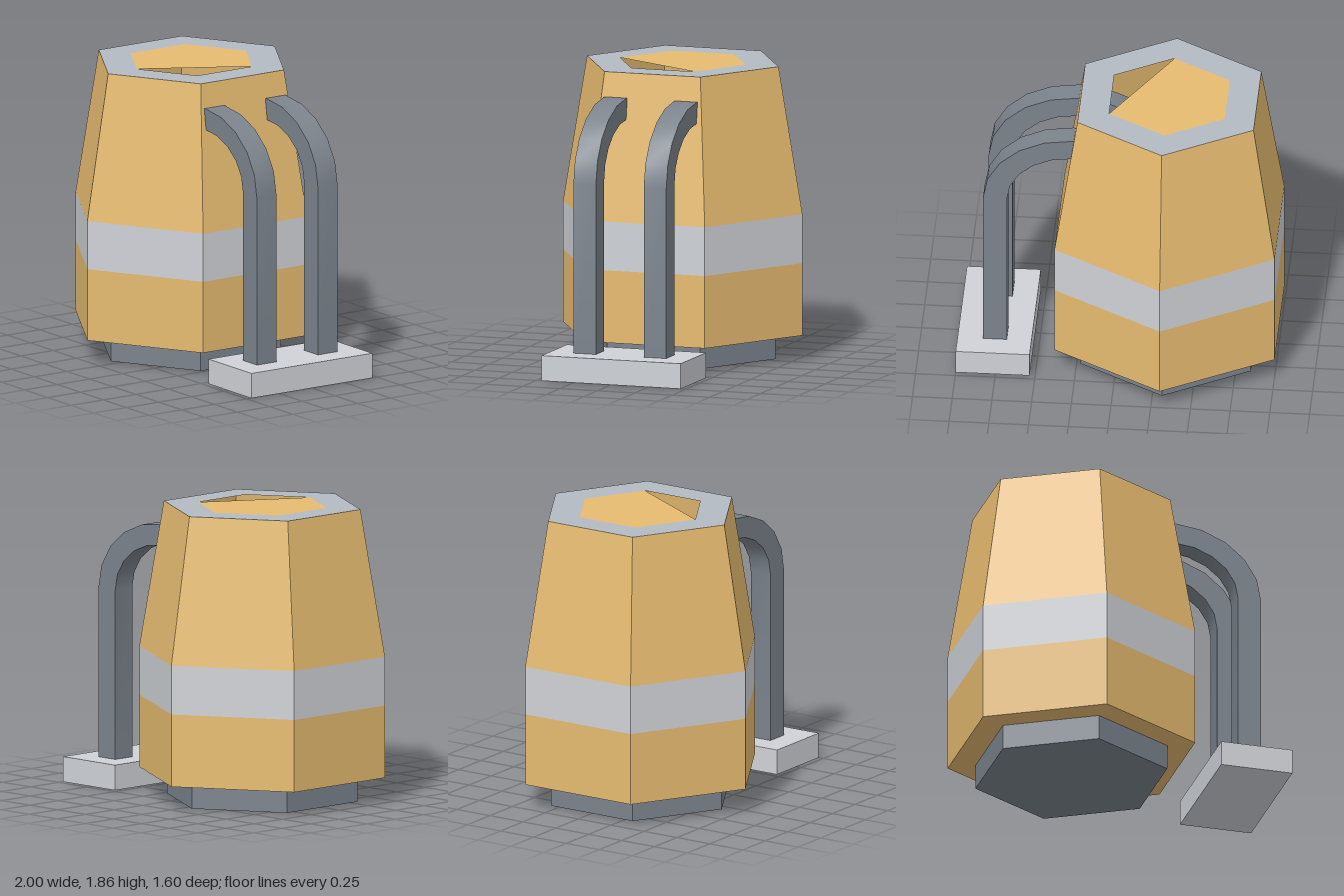
import * as THREE from 'three';
import { toCreasedNormals } from 'three/addons/utils/BufferGeometryUtils.js';

const material = (color, flatShading = true) =>
  new THREE.MeshStandardMaterial({ color, flatShading, side: THREE.DoubleSide });

export function createModel() {
  const model = new THREE.Group();
  const orange = material(0xe6bb70);
  const paleGrey = material(0xcfd2d7);
  const rimGrey = material(0xb4bac2);
  const darkGrey = material(0x7b838c);

  const add = (name, geometry, mat, parent = model) => {
    const mesh = new THREE.Mesh(geometry, mat);
    mesh.name = name;
    parent.add(mesh);
    return mesh;
  };

  // Hollow hexagonal tank, corners on +z and -z
  const tank = new THREE.Group();
  tank.name = 'tank';
  tank.position.x = -0.31;
  model.add(tank);
  const hexRing = (name, mat, ...profile) =>
    add(name, new THREE.LatheGeometry(profile.map(([r, y]) => new THREE.Vector2(r, y)), 6), mat, tank);

  hexRing('base', darkGrey, [0, 0], [0.62, 0], [0.62, 0.16]);
  hexRing('lowerWall', orange, [0, 0.16], [0.8, 0.16], [0.8, 0.62]);
  hexRing('band', paleGrey, [0.8, 0.62], [0.8, 0.93]);
  hexRing('upperWall', orange, [0.8, 0.93], [0.64, 1.86]);
  hexRing('rim', rimGrey, [0.64, 1.86], [0.42, 1.86]);

  // Lid: a hexagon with one corner cut away, open to the inside
  const corners = [0, 2, 3, 4, 5].map((k) => {
    const a = (k * Math.PI) / 3;
    return new THREE.Vector2(0.42 * Math.sin(a), -0.42 * Math.cos(a));
  });
  const lid = new THREE.ShapeGeometry(new THREE.Shape(corners));
  lid.rotateX(-Math.PI / 2);
  add('lid', lid, orange, tank).position.y = 1.86;

  // Arched square pipes running from inside the tank to the foot block
  const cx = 0.28, spring = 1.24, foot = 0.16;
  const arch = new THREE.Shape();
  arch.moveTo(cx + 0.56, foot);
  arch.lineTo(cx + 0.56, spring);
  arch.absellipse(cx, spring, 0.56, 0.465, 0, Math.PI, false);
  arch.lineTo(cx - 0.56, foot);
  arch.lineTo(cx - 0.41, foot);
  arch.lineTo(cx - 0.41, spring);
  arch.absellipse(cx, spring, 0.41, 0.33, Math.PI, 0, true);
  arch.lineTo(cx + 0.41, foot);
  const pipe = toCreasedNormals(
    new THREE.ExtrudeGeometry(arch, { depth: 0.15, bevelEnabled: false, curveSegments: 5 }), 0.6);
  const pipeGrey = material(0x7b838c, false);
  add('leftPipe', pipe, pipeGrey).position.z = 0.16;
  add('rightPipe', pipe, pipeGrey).position.z = -0.31;

  // Foot block under the pipes
  add('footBlock', new THREE.BoxGeometry(0.465, 0.16, 0.93), paleGrey).position.set(0.7675, 0.08, 0);

  return model;
}
